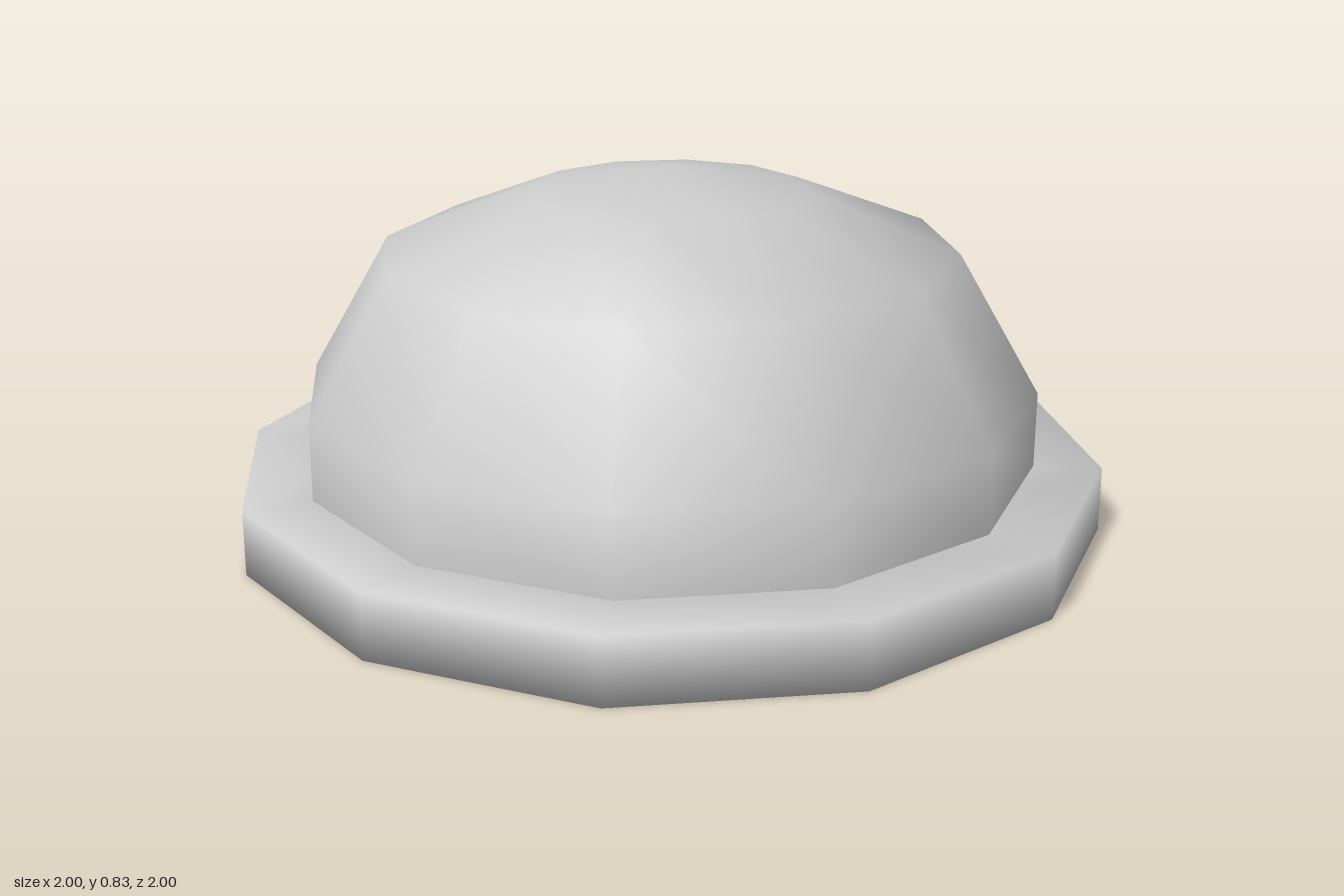
import * as THREE from 'three';
import { mergeVertices } from 'three/addons/utils/BufferGeometryUtils.js';

const SIDES = 12;

// Twelve-sided turned shape with normals smoothed across seam and edges
function turned(name, profile, side) {
  const points = profile.map(([r, y]) => new THREE.Vector2(r, y));
  let geometry = new THREE.LatheGeometry(points, SIDES);
  geometry.deleteAttribute('uv');
  geometry.deleteAttribute('normal');
  geometry = mergeVertices(geometry, 1e-4);
  geometry.computeVertexNormals();
  const mesh = new THREE.Mesh(geometry, new THREE.MeshStandardMaterial({ color: 0xcccccc, side }));
  mesh.name = name;
  return mesh;
}

export function createModel() {
  const model = new THREE.Group();
  model.name = 'domeWithRim';

  // Square-section ring at the base, open in the middle
  model.add(turned('rim', [[0.7, 0], [1, 0], [1, 0.15], [0.7, 0.15], [0.7, 0]], THREE.FrontSide));

  // Thin hollow dome, visible from inside through the ring
  model.add(turned('dome',
    [[0.845, 0.14], [0.845, 0.325], [0.658, 0.645], [0.325, 0.775], [0, 0.832]],
    THREE.DoubleSide));

  return model;
}
